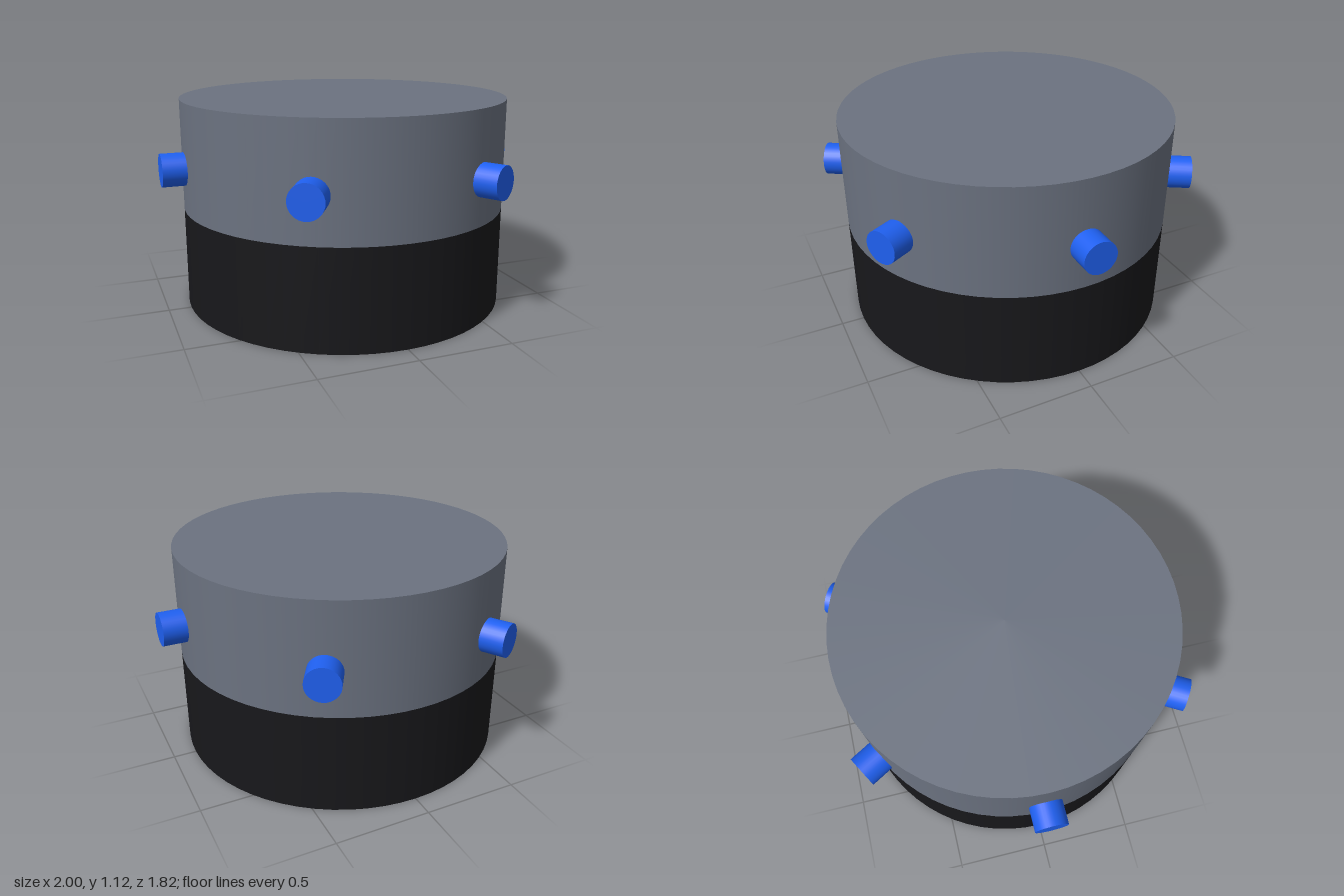
import * as THREE from 'three';

const BODY_RADIUS = 0.88;
const BASE_HEIGHT = 0.53;
const TOTAL_HEIGHT = 1.12;

function cylinder(name, radius, height, segments, color) {
  const mesh = new THREE.Mesh(
    new THREE.CylinderGeometry(radius, radius, height, segments),
    new THREE.MeshStandardMaterial({ color })
  );
  mesh.name = name;
  return mesh;
}

export function createModel() {
  const model = new THREE.Group();
  model.name = 'drumWithPegs';

  // Dark lower drum
  const base = cylinder('base', BODY_RADIUS, BASE_HEIGHT, 64, 0x18181b);
  base.position.y = BASE_HEIGHT / 2;
  model.add(base);

  // Grey upper drum
  const upperHeight = TOTAL_HEIGHT - BASE_HEIGHT;
  const upper = cylinder('upperBody', BODY_RADIUS, upperHeight, 64, 0x6b7280);
  upper.position.y = BASE_HEIGHT + upperHeight / 2;
  model.add(upper);

  // Six radial pegs, sunk slightly into the upper drum
  const inner = 0.84, outer = 1;
  for (let i = 0; i < 6; i++) {
    const holder = new THREE.Group();
    holder.name = `pegMount${i + 1}`;
    holder.rotation.y = (i * Math.PI) / 3;
    const peg = cylinder('peg', 0.087, outer - inner, 32, 0x1f60f0);
    peg.rotation.z = -Math.PI / 2;
    peg.position.set((inner + outer) / 2, 0.77, 0);
    holder.add(peg);
    model.add(holder);
  }
  return model;
}
